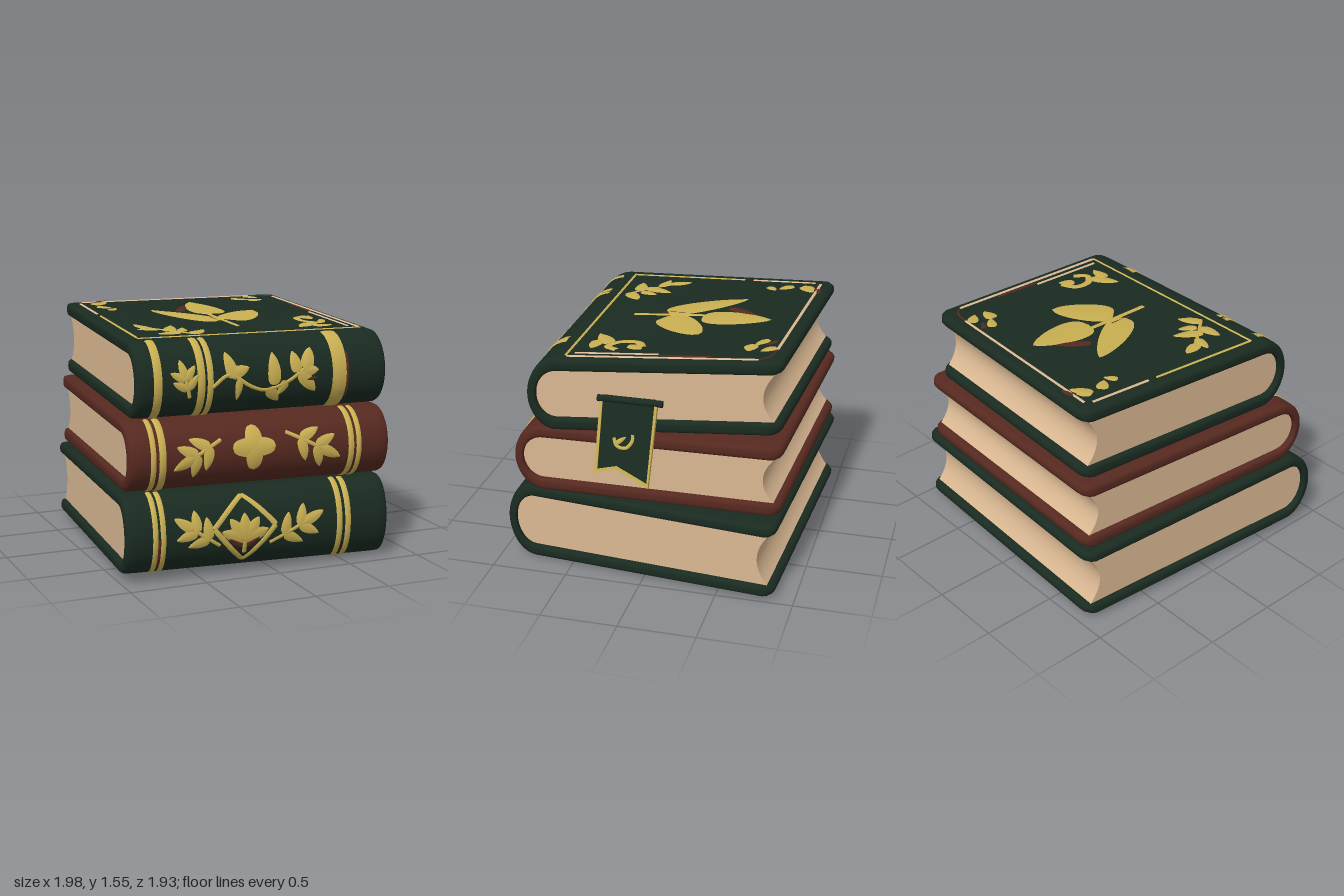
import * as THREE from 'three';
import { mergeGeometries, toCreasedNormals } from 'three/addons/utils/BufferGeometryUtils.js';

const material = (name, color) => Object.assign(new THREE.MeshStandardMaterial({ color }), { name });
const lerp = THREE.MathUtils.lerp;
const HALF = Math.PI / 2;
const SPINE = 0.2; // how far the rounded spine bulges forward

// Footprint corners are [x, z, bottom y, top y]; decoration offset "shift" centres the spine.
const BOOKS = [
  { name: 'bottomBook', cover: 'green', hw: 0.9, H: 0.52, t: 0.075, z0: -0.965, z1: 0.965, shift: -0.1, base: 0.035,
    FL: [-1, 0.945, 0.05, 0.55], FR: [0.8, 0.965, 0, 0.52], BL: [-0.85, -0.965, 0.04, 0.53], BR: [1, -0.87, 0.025, 0.52] },
  { name: 'middleBook', cover: 'red', hw: 0.89, H: 0.43, t: 0.075, z0: -0.95, z1: 0.885, shift: -0.06, base: 0.54,
    FL: [-0.95, 0.865, 0.55, 0.985], FR: [0.845, 0.885, 0.52, 0.965], BL: [-0.82, -0.95, 0.555, 1.02], BR: [0.9, -0.88, 0.555, 1.02] },
  { name: 'topBook', cover: 'green', hw: 0.865, H: 0.48, t: 0.08, z0: -0.93, z1: 0.77, shift: 0.01, base: 0.97,
    FL: [-0.86, 0.77, 0.975, 1.455], FR: [0.88, 0.77, 0.96, 1.44], BL: [-0.79, -0.93, 1.06, 1.54], BR: [0.79, -0.85, 1.06, 1.54] },
];

// Rounds the corners by radius r, then bends the straight book onto its skewed footprint.
function warp(geo, b, r) {
  const p = geo.attributes.position;
  for (let i = 0; i < p.count; i++) {
    const x = p.getX(i), y = p.getY(i);
    let z = p.getZ(i);
    const e = Math.min(r, Math.max(0, Math.abs(x) - b.hw + r));
    const d = r - Math.sqrt(r * r - e * e);
    z += z < 0 ? d * z / b.z0 : -0.3 * d * z / b.z1;
    const u = (x / b.hw + 1) / 2, w = (z - b.z0) / (b.z1 - b.z0);
    const at = (k) => lerp(lerp(b.BL[k], b.BR[k], u), lerp(b.FL[k], b.FR[k], u), w);
    p.setXYZ(i, at(0), lerp(at(2), at(3), y / b.H), at(1));
  }
  return geo;
}

// Extrudes a side profile (z, y) across the width of a book.
function across(shape, width, bevel, steps) {
  const geo = new THREE.ExtrudeGeometry(shape, {
    depth: width - 2 * bevel, steps, curveSegments: 20, bevelEnabled: bevel > 0,
    bevelSize: bevel, bevelThickness: bevel, bevelOffset: -bevel, bevelSegments: 3,
  });
  return geo.translate(0, 0, bevel - width / 2).rotateY(-HALF);
}

function coverShape({ H, t, z0, z1 }) {
  const zc = z1 - SPINE, ze = z0 + t / 2;
  const s = new THREE.Shape();
  s.moveTo(ze, 0).lineTo(zc, 0);
  s.absellipse(zc, H / 2, SPINE, H / 2, -HALF, HALF, false);
  s.lineTo(ze, H);
  s.absarc(ze, H - t / 2, t / 2, HALF, 3 * HALF, false);
  s.lineTo(zc, H - t);
  s.absellipse(zc, H / 2, SPINE - 0.06, H / 2 - t, HALF, -HALF, true);
  s.lineTo(ze, t);
  s.absarc(ze, t / 2, t / 2, HALF, 3 * HALF, false);
  return s;
}

function pagesShape({ H, t, z0, z1 }) {
  const zc = z1 - SPINE, zb = z0 + 0.045, m = t - 0.006;
  const s = new THREE.Shape();
  s.moveTo(zb, m).lineTo(zc, m);
  s.absellipse(zc, H / 2, SPINE - 0.054, H / 2 - m, -HALF, HALF, false);
  s.lineTo(zb, H - m);
  s.quadraticCurveTo(zb + 0.16, H / 2, zb, m);
  return s;
}

// Thin raised strip along a path of [a, b] points, laid on a surface by place(a, b, lift).
// A blunt value above 0 makes it a leaf; smaller is rounder.
function ribbon([pts, width, blunt], place) {
  const curve = new THREE.CatmullRomCurve3(pts.map(([a, b]) => new THREE.Vector3(a, b, 0)));
  const geo = new THREE.PlaneGeometry(1, 1, 20, 4), p = geo.attributes.position;
  for (let i = 0; i < p.count; i++) {
    const t = Math.min(1, Math.max(0, p.getX(i) + 0.5)), s = p.getY(i) * 2;
    const c = curve.getPoint(t), d = curve.getTangent(t);
    const k = s * width / 2 * (blunt ? Math.max(0, Math.sin(Math.PI * t ** 0.85)) ** blunt : 1);
    p.setXYZ(i, ...place(c.x - d.y * k, c.y + d.x * k, 0.005 + 0.005 * (1 - s * s)));
  }
  return geo;
}
const line = (width, ...pts) => [pts, width, 0];
const leaf = (x0, y0, x1, y1, width, blunt = 0.75) => [[[x0, y0], [x1, y1]], width, blunt];

// Stem with paired leaves and one at the tip.
function sprig(x0, y0, x1, y1, size = 0.145) {
  const dir = Math.atan2(y1 - y0, x1 - x0), out = [line(0.024, [x0, y0], [x1, y1])];
  const add = (t, turn) => {
    const x = lerp(x0, x1, t), y = lerp(y0, y1, t);
    out.push(leaf(x, y, x + size * Math.cos(dir + turn), y + size * Math.sin(dir + turn), size * 0.48));
  };
  for (const t of [0.35, 0.72]) for (const turn of [-0.9, 0.9]) add(t, turn);
  add(0.85, 0);
  return out;
}
// Leaves fanned around a point.
const flower = (x, y, r, w, angles, blunt) => angles.map((a) =>
  leaf(x, y, x + r * Math.cos(a), y + r * Math.sin(a), w, blunt));

const SPINE_ART = {
  bottomBook: {
    bands: [[-0.815, 0.035], [-0.765, 0.035], [0.44, 0.04], [0.5, 0.04]],
    art: [
      ...sprig(-0.39, 0.22, -0.6, 0.36), ...sprig(-0.05, 0.21, 0.24, 0.35),
      line(0.035, [-0.22, 0.08], [-0.01, 0.33]), line(0.035, [-0.01, 0.33], [-0.22, 0.56]),
      line(0.035, [-0.22, 0.56], [-0.43, 0.33]), line(0.035, [-0.43, 0.33], [-0.22, 0.08]),
      ...flower(-0.22, 0.25, 0.17, 0.09, [0.35, 0.95, HALF, 2.2, 2.8]), line(0.03, [-0.22, 0.15], [-0.22, 0.3]),
    ],
    accent: [leaf(-0.24, 0.2, -0.33, 0.26, 0.045), leaf(-0.2, 0.2, -0.12, 0.26, 0.045), line(0.02, [-0.79, 0.07], [-0.79, 0.3])],
  },
  middleBook: {
    bands: [[-0.795, 0.035], [-0.735, 0.045], [0.545, 0.04], [0.6, 0.035]],
    art: [
      ...sprig(-0.35, 0.86, -0.57, 0.74), ...sprig(0.09, 0.88, 0.38, 0.74),
      ...flower(-0.13, 0.8, 0.145, 0.115, [0, HALF, Math.PI, -HALF], 0.4),
    ],
    accent: [],
  },
  topBook: {
    bands: [[-0.72, 0.055], [-0.435, 0.05], [-0.375, 0.04], [0.52, 0.1]],
    art: [
      ...sprig(-0.51, 1.12, -0.55, 1.28, 0.11),
      line(0.024, [-0.36, 1.18], [-0.25, 1.25], [-0.1, 1.17], [0, 1.14], [0.14, 1.18], [0.3, 1.28]),
      leaf(-0.22, 1.23, -0.26, 1.4, 0.08), leaf(-0.24, 1.25, -0.11, 1.29, 0.08), leaf(-0.18, 1.22, -0.19, 1.08, 0.05),
      leaf(0.02, 1.15, 0.1, 1.05, 0.08), leaf(0.06, 1.17, 0.06, 1.38, 0.09), leaf(0.14, 1.19, 0.09, 1.1, 0.06),
      leaf(0.22, 1.24, 0.2, 1.38, 0.08), leaf(0.28, 1.26, 0.33, 1.4, 0.09), leaf(0.27, 1.25, 0.37, 1.25, 0.07), leaf(0.24, 1.24, 0.35, 1.11, 0.09),
    ],
    accent: [leaf(0.28, 1.19, 0.36, 1.2, 0.03), line(0.02, [0.58, 1.05], [0.58, 1.35])],
  },
};

// Top cover art, as [x, -z] paths.
const COVER_ART = {
  gold: [
    leaf(0.04, 0.2, 0.05, 0.67, 0.25), leaf(-0.03, -0.06, -0.35, 0.42, 0.2), leaf(0.06, -0.04, 0.37, 0.26, 0.25, 0.6),
    line(0.035, [0, 0.24], [0.01, 0], [0.025, -0.28]),
    line(0.02, [-0.78, -0.51], [0.8, -0.51]), line(0.022, [-0.77, -0.5], [-0.77, 0.3]),
    leaf(-0.69, 0.74, -0.56, 0.82, 0.1), leaf(-0.68, 0.66, -0.6, 0.58, 0.08), leaf(-0.64, 0.5, -0.57, 0.56, 0.06),
    leaf(0.43, 0.74, 0.54, 0.68, 0.07), leaf(0.53, 0.66, 0.65, 0.66, 0.09), leaf(0.57, 0.82, 0.65, 0.74, 0.08),
    line(0.022, [-0.63, -0.14], [-0.5, -0.3], [-0.36, -0.46]),
    leaf(-0.6, -0.2, -0.65, -0.06, 0.08), leaf(-0.54, -0.25, -0.68, -0.22, 0.07), leaf(-0.5, -0.34, -0.42, -0.15, 0.09),
    leaf(-0.44, -0.38, -0.6, -0.4, 0.09), leaf(-0.38, -0.44, -0.26, -0.34, 0.09), leaf(-0.42, -0.36, -0.37, -0.24, 0.07),
    line(0.05, [0.63, -0.04], [0.54, -0.1], [0.54, -0.22], [0.62, -0.28], [0.68, -0.2]),
    leaf(0.57, -0.28, 0.41, -0.4, 0.1), leaf(0.52, -0.37, 0.66, -0.38, 0.09), leaf(0.6, -0.14, 0.66, -0.04, 0.08),
  ],
  cream: [
    line(0.022, [-0.75, 0.84], [0.62, 0.84]), line(0.028, [0.8, -0.5], [0.8, 0.77]),
    line(0.025, [-0.77, 0.36], [-0.77, 0.8]), line(0.025, [0.745, -0.46], [0.745, 0.1]),
  ],
  red: [
    leaf(-0.16, 0.34, -0.04, 0.55, 0.07), line(0.018, [-0.035, 0.06], [-0.03, -0.1]), line(0.022, [0.765, 0.1], [0.77, 0.45]),
    line(0.016, [0.62, 0.84], [0.74, 0.82], [0.8, 0.77]), leaf(-0.64, 0.83, -0.54, 0.87, 0.05), leaf(0.45, 0.8, 0.53, 0.75, 0.04),
  ],
};

export function createModel() {
  const model = new THREE.Group();
  model.name = 'bookStack';
  const mats = {
    green: material('dark green cloth', 0x1a2b21), red: material('red brown cloth', 0x562920),
    gold: material('gold foil', 0xcab052), cream: material('cream paper', 0xdab892),
  };
  const add = (parent, name, geo, mat) => {
    const mesh = new THREE.Mesh(geo, mats[mat]);
    mesh.name = name;
    parent.add(mesh);
  };

  for (const b of BOOKS) {
    const book = new THREE.Group();
    book.name = b.name;
    model.add(book);
    add(book, 'cover', toCreasedNormals(warp(across(coverShape(b), 2 * b.hw, 0.025, 48), b, 0.09), 0.7), b.cover);
    add(book, 'pages', toCreasedNormals(warp(across(pagesShape(b), 2 * b.hw - 0.08, 0, 24), b, 0.01), 0.7), 'cream');

    const foil = (specs, place) => {
      const geo = warp(mergeGeometries(specs.map((s) => ribbon(s, place))), b, 0.09);
      geo.computeVertexNormals();
      return geo;
    };
    // Wraps flat art round the spine.
    const mid = b.H / 2;
    const onSpine = (x, y, lift) => {
      const a = (y - b.base - mid) / mid;
      return [x - b.shift, mid + (mid + lift) * Math.sin(a), b.z1 - SPINE + (SPINE + lift) * Math.cos(a)];
    };
    const { bands, art, accent } = SPINE_ART[b.name];
    const centre = b.base + mid;
    const strips = bands.map(([x, w]) => line(w, [x, centre - 1.5 * mid], [x, centre + 1.5 * mid]));
    add(book, 'spineBands', foil(strips, onSpine), 'gold');
    add(book, 'spineLeaves', foil(art, onSpine), 'gold');
    if (accent.length) add(book, 'spineAccents', foil(accent, onSpine), 'red');

    if (b.name === 'topBook') {
      const onCover = (x, y, lift) => [x, b.H + lift, -y];
      for (const key in COVER_ART) add(book, key + 'CoverArt', foil(COVER_ART[key], onCover), key);
    }
  }

  // Ribbon bookmark hanging out of the side, with gold trim.
  const bookmark = new THREE.Group();
  bookmark.name = 'bookmark';
  model.add(bookmark);
  const lean = (y) => 0.84 + (1.24 - y) * 0.22;
  const outer = [[-0.28, 1.23], [-0.3, 0.75], [-0.16, 0.79], [0.055, 0.69], [0.09, 1.23]];
  const inner = [[-0.262, 1.24], [-0.278, 0.78], [-0.155, 0.81], [0.045, 0.72], [0.072, 1.24]];
  const toShape = (pts) => new THREE.Shape(pts.map(([x, y]) => new THREE.Vector2(x, y)));
  const plate = (shape, depth) => {
    const geo = new THREE.ExtrudeGeometry(shape, { depth, bevelEnabled: false }).translate(0, 0, -depth / 2).rotateY(HALF);
    const p = geo.attributes.position;
    for (let i = 0; i < p.count; i++) p.setX(i, p.getX(i) + lean(p.getY(i)));
    geo.computeVertexNormals();
    return geo;
  };
  add(bookmark, 'bookmarkTrim', plate(toShape([...outer, ...inner.slice().reverse()]), 0.032), 'gold');
  add(bookmark, 'bookmarkCloth', plate(toShape(inner), 0.02), 'green');
  const roll = new THREE.CylinderGeometry(0.022, 0.022, 0.42, 14).rotateX(HALF).translate(0.845, 1.22, 0.09);
  add(bookmark, 'bookmarkRoll', roll, 'green');
  const curls = [line(0.022, [-0.18, 0.99], [-0.16, 0.94], [-0.1, 0.93], [-0.06, 0.98], [-0.06, 1.02]),
    leaf(-0.17, 0.95, -0.1, 1.0, 0.03)];
  const curl = mergeGeometries(curls.map((s) => ribbon(s, (a, y, lift) => [lean(y) + 0.01 + lift, y, -a])));
  curl.computeVertexNormals();
  add(bookmark, 'bookmarkCurl', curl, 'gold');
  return model;
}
